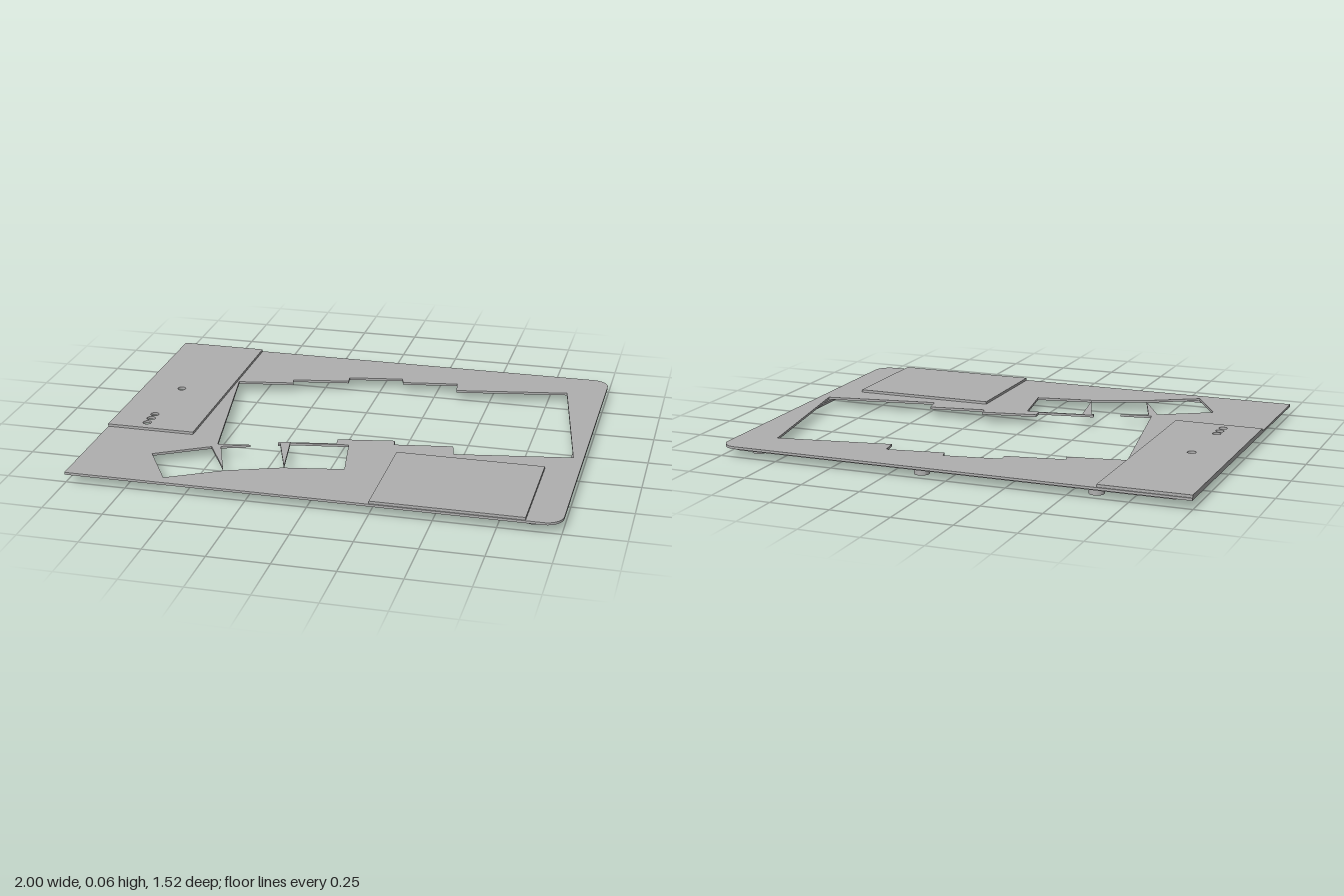
import * as THREE from 'three';

const grey = new THREE.MeshStandardMaterial({ color: 0xb0b0b0 });
grey.name = 'plain grey';

const PLATE_Y = 0.037, PLATE_TOP = 0.047, PANEL_TOP = 0.058, LIP_Y = 0.027;

// Outlines are given as [x, z]; the shape's y is -z so that extrusion goes up.
const points = (list) => list.map(([x, z]) => new THREE.Vector2(x, -z));
const rect = (x0, z0, x1, z1) => points([[x0, z1], [x1, z1], [x1, z0], [x0, z0]]);
const circle = (x, z, r) => new THREE.Path().absarc(x, -z, r, 0, Math.PI * 2, true);

function slab(name, shape, y0, y1) {
  const geometry = new THREE.ExtrudeGeometry(shape, { depth: y1 - y0, bevelEnabled: false, curveSegments: 16 });
  geometry.rotateX(-Math.PI / 2).translate(0, y0, 0);
  const mesh = new THREE.Mesh(geometry, grey);
  mesh.name = name;
  return mesh;
}

// Outline with square corners on -x and rounded corners on +x
function roundedRight(path, x0, x1, h, r) {
  path.moveTo(x0, -h);
  path.lineTo(x1 - r, -h);
  path.absarc(x1 - r, -h + r, r, -Math.PI / 2, 0, false);
  path.lineTo(x1, h - r);
  path.absarc(x1 - r, h - r, r, 0, Math.PI / 2, false);
  path.lineTo(x0, h);
  return path;
}

// Stepped opening for the key field, joined to the fanned thumb keys
const keyOpening = [
  [-0.615, -0.361], [-0.374, -0.404], [-0.385, -0.441], [-0.139, -0.484], [-0.144, -0.527],
  [0.091, -0.567], [0.102, -0.527], [0.342, -0.567], [0.353, -0.489], [0.834, -0.575],
  [0.957, 0.126], [0.476, 0.209], [0.46, 0.131], [0.219, 0.171], [0.214, 0.131],
  [-0.021, 0.174], [-0.016, 0.217], [-0.254, 0.259], [-0.249, 0.281], [-0.241, 0.275],
  [-0.163, 0.495], [-0.203, 0.259], [0.037, 0.219], [0.08, 0.463], [-0.166, 0.508],
  [-0.385, 0.591], [-0.599, 0.714], [-0.722, 0.5], [-0.508, 0.372], [-0.396, 0.57],
  [-0.471, 0.361], [-0.358, 0.316], [-0.492, 0.34],
];

export function createModel() {
  const model = new THREE.Group();
  model.name = 'keyboardTopPlate';

  // Main plate, open under the two raised covers
  const plate = roundedRight(new THREE.Shape(), -1, 1, 0.762, 0.07);
  plate.holes.push(
    new THREE.Path(points(keyOpening)),
    new THREE.Path(rect(-0.98, -0.72, -0.645, 0.25)),
    new THREE.Path(rect(0.275, 0.29, 0.837, 0.72)),
  );
  model.add(slab('mainPlate', plate, PLATE_Y, PLATE_TOP));

  // Raised controller cover with its small round holes
  const controller = new THREE.Shape(rect(-1, -0.757, -0.623, 0.27));
  for (const [x, z] of [[-0.829, -0.193], [-0.845, 0.12], [-0.845, 0.166], [-0.845, 0.214]]) {
    controller.holes.push(circle(x, z, 0.018));
  }
  model.add(slab('controllerCover', controller, PLATE_TOP, PANEL_TOP));

  // Raised battery cover
  model.add(slab('batteryCover', new THREE.Shape(rect(0.251, 0.267, 0.861, 0.757)), PLATE_TOP, PANEL_TOP));

  // Locating lip under three edges
  const outer = roundedRight(new THREE.Path(), -0.93, 0.965, 0.738, 0.05).getPoints(12);
  const inner = roundedRight(new THREE.Path(), -0.93, 0.945, 0.718, 0.035).getPoints(12);
  model.add(slab('locatingLip', new THREE.Shape([...outer, ...inner.reverse()]), LIP_Y, PLATE_Y));

  // Hollow screw posts
  const posts = new THREE.Group();
  posts.name = 'screwPosts';
  for (const [x, z] of [[0.88, -0.643], [0.13, -0.685], [-0.6, -0.685], [0.88, 0.66], [0.23, 0.58], [-0.89, 0.635]]) {
    const ring = new THREE.Shape().absarc(x, -z, 0.031, 0, Math.PI * 2, false);
    ring.holes.push(circle(x, z, 0.016));
    posts.add(slab('screwPost', ring, 0, PLATE_Y));
  }
  model.add(posts);

  return model;
}
